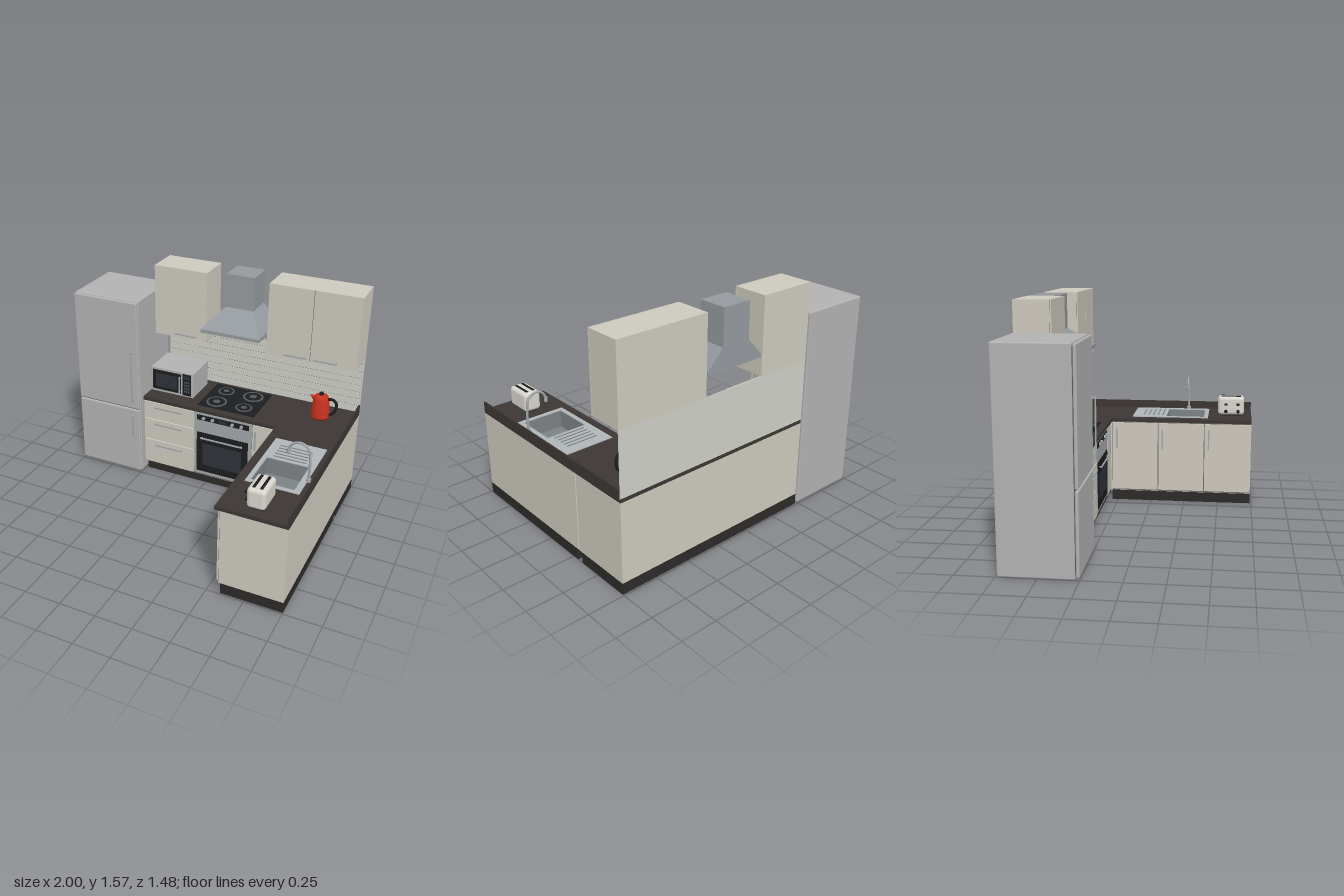
import * as THREE from 'three';
import { RoundedBoxGeometry } from 'three/addons/geometries/RoundedBoxGeometry.js';

const mat = (color) => new THREE.MeshStandardMaterial({ color, side: THREE.DoubleSide });
const M = {
  cream: mat(0xcdc9be), shade: mat(0x6f6c66), dark: mat(0x3c3734), plinth: mat(0x2c2b29),
  fridge: mat(0xb2b2b2), steel: mat(0xa2a7ab), hood: mat(0x959a9e), black: mat(0x1c1d20),
  glass: mat(0x2e3338), tile: mat(0xcfcfc8), sink: mat(0xb0b5b9), bowl: mat(0x7d8285),
  red: mat(0xc8321f), white: mat(0xd8d6cd), ring: mat(0x55585a),
};

export function createModel() {
  const root = new THREE.Group();
  root.name = 'kitchen';
  let parent = root;

  const group = (name, build) => {
    const g = new THREE.Group();
    g.name = name;
    root.add(g);
    parent = g;
    build();
    parent = root;
  };
  const add = (name, geo, m, x = 0, y = 0, z = 0) => {
    const mesh = new THREE.Mesh(geo, m);
    mesh.name = name;
    mesh.position.set(x, y, z);
    parent.add(mesh);
    return mesh;
  };
  // Box given by its limits; a radius rounds its edges
  const box = (name, m, x0, x1, y0, y1, z0, z1, r = 0) => {
    const s = [x1 - x0, y1 - y0, z1 - z0];
    const geo = r ? new RoundedBoxGeometry(...s, 3, r) : new THREE.BoxGeometry(...s);
    return add(name, geo, m, (x0 + x1) / 2, (y0 + y1) / 2, (z0 + z1) / 2);
  };
  const disc = (name, m, r, h, x, y, z, axis = 'y') => {
    const geo = new THREE.CylinderGeometry(r, r, h, 24);
    if (axis === 'z') geo.rotateX(Math.PI / 2);
    if (axis === 'x') geo.rotateZ(Math.PI / 2);
    return add(name, geo, m, x, y, z);
  };
  const tube = (name, m, pts, r, seg = 32) => add(name, new THREE.TubeGeometry(
    new THREE.CatmullRomCurve3(pts.map((p) => new THREE.Vector3(...p))), seg, r, 10), m);
  // Bar handles standing off a front that faces +z
  const barX = (x0, x1, y, z) => {
    box('handleBar', M.steel, x0, x1, y - 0.005, y + 0.005, z + 0.012, z + 0.02);
    for (const x of [x0 + 0.01, x1 - 0.01]) box('handlePost', M.steel, x - 0.004, x + 0.004, y - 0.004, y + 0.004, z, z + 0.013);
  };
  const barY = (x, y0, y1, z, d = 0.012) => {
    box('handleBar', M.steel, x - 0.005, x + 0.005, y0, y1, z + d, z + d + 0.009);
    for (const y of [y0 + 0.012, y1 - 0.012]) box('handlePost', M.steel, x - 0.004, x + 0.004, y - 0.005, y + 0.005, z, z + d);
  };
  // Plan outline (x, z) with rectangular hole, extruded upwards
  const slab = (name, m, outline, hole, y0, y1) => {
    const v = (pts) => pts.map(([x, z]) => new THREE.Vector2(x, -z));
    const s = new THREE.Shape(v(outline));
    const [a, b, c, d] = hole;
    s.holes.push(new THREE.Path(v([[a, c], [b, c], [b, d], [a, d]])));
    const geo = new THREE.ExtrudeGeometry(s, { depth: y1 - y0, bevelEnabled: false });
    add(name, geo.rotateX(-Math.PI / 2), m, 0, y0, 0);
  };

  group('fridge', () => {
    box('fridgeBody', M.fridge, -1, -0.5, 0, 1.37, -0.74, -0.277, 0.01);
    box('doorSeal', M.ring, -0.99, -0.51, 0.02, 1.35, -0.28, -0.27);
    box('lowerDoor', M.fridge, -1, -0.5, 0.015, 0.53, -0.272, -0.25, 0.008);
    box('upperDoor', M.fridge, -1, -0.5, 0.54, 1.365, -0.272, -0.25, 0.008);
    barY(-0.543, 0.6, 1.0, -0.25, 0.02);
    barY(-0.543, 0.31, 0.49, -0.25, 0.02);
  });

  group('wallCabinets', () => {
    for (const [x0, x1, doors] of [
      [-0.48, -0.08, [[-0.48, -0.08, -0.32, -0.16]]],
      [0.37, 1, [[0.37, 0.677, 0.5, 0.66], [0.683, 1, 0.71, 0.87]]],
    ]) {
      box('cabinetBody', M.cream, x0, x1, 1.06, 1.57, -0.74, -0.512);
      box('doorGap', M.shade, x0 + 0.003, x1 - 0.003, 1.063, 1.567, -0.513, -0.51);
      for (const [a, b, h0, h1] of doors) {
        box('cabinetDoor', M.cream, a, b, 1.06, 1.57, -0.51, -0.5);
        barX(h0, h1, 1.088, -0.5);
      }
    }
  });

  group('backsplash', () => {
    box('backPanel', M.tile, -0.48, 1, 0.64, 1.06, -0.74, -0.735);
    box('grout', M.shade, -0.48, 0.99, 0.64, 1.058, -0.736, -0.733);
    for (let i = 0; i < 8; i++) box('tileRow', M.tile, -0.48, 0.99, 0.64 + i * 0.0525, 0.689 + i * 0.0525, -0.735, -0.73);
  });

  group('rangeHood', () => {
    box('duct', M.hood, 0.042, 0.247, 1.32, 1.57, -0.74, -0.55);
    // Box whose upper corners are drawn in to meet the duct
    const geo = new THREE.BoxGeometry(0.43, 0.12, 0.365).toNonIndexed();
    const p = geo.attributes.position;
    for (let i = 0; i < p.count; i++) {
      if (p.getY(i) > 0) p.setXYZ(i, Math.sign(p.getX(i)) * 0.1025, 0.06, p.getZ(i) > 0 ? 0.0075 : -0.1825);
    }
    geo.computeVertexNormals();
    add('canopy', geo, M.hood, 0.145, 1.272, -0.5575);
    box('canopyRim', M.hood, -0.07, 0.36, 1.188, 1.212, -0.74, -0.375);
    box('filter', M.black, -0.055, 0.345, 1.185, 1.19, -0.725, -0.39);
  });

  group('baseCabinets', () => {
    box('backPlinth', M.plinth, -0.48, 1, 0, 0.077, -0.74, -0.34);
    box('sidePlinth', M.plinth, 0.59, 1, 0, 0.077, -0.295, 0.74);
    box('backBase', M.cream, -0.48, 1, 0.077, 0.615, -0.74, -0.315);
    slab('sideBase', M.cream, [[0.577, -0.305], [1, -0.305], [1, 0.74], [0.577, 0.74]], [0.62, 0.93, 0.1, 0.4], 0.077, 0.615);
    box('frontGap', M.shade, -0.478, 0.575, 0.08, 0.612, -0.316, -0.312);
    // Three drawers
    for (const [y0, y1, h] of [[0.092, 0.282, 0.25], [0.29, 0.457, 0.43], [0.465, 0.602, 0.568]]) {
      box('drawerFront', M.cream, -0.48, -0.08, y0, y1, -0.313, -0.298);
      barX(-0.39, -0.17, h, -0.298);
    }
    box('cornerDoor', M.cream, 0.372, 0.555, 0.092, 0.602, -0.313, -0.298);
    barY(0.397, 0.41, 0.56, -0.298);
    // Doors on the inner side of the wing
    box('wingGap', M.shade, 0.573, 0.578, 0.08, 0.612, -0.29, 0.735);
    for (let i = 0; i < 3; i++) {
      const z = -0.285 + i * 0.342;
      box('wingDoor', M.cream, 0.562, 0.574, 0.092, 0.602, z, z + 0.336);
      box('wingHandle', M.steel, 0.542, 0.55, 0.41, 0.56, z + 0.025, z + 0.035);
      for (const y of [0.42, 0.55]) box('handlePost', M.steel, 0.548, 0.563, y - 0.004, y + 0.004, z + 0.026, z + 0.034);
    }
  });

  group('worktop', () => {
    slab('counter', M.dark, [[-0.48, -0.74], [1, -0.74], [1, 0.74], [0.54, 0.74], [0.54, -0.285], [-0.48, -0.285]],
      [0.63, 0.91, 0.11, 0.39], 0.615, 0.64);
    box('sideUpstand', M.dark, 0.99, 1, 0.64, 0.695, -0.74, 0.74);
  });

  group('oven', () => {
    box('ovenFront', M.steel, -0.073, 0.365, 0.097, 0.602, -0.33, -0.3);
    box('controlPanel', M.black, -0.055, 0.345, 0.548, 0.588, -0.3, -0.296);
    box('display', M.glass, 0.115, 0.175, 0.556, 0.58, -0.297, -0.294);
    for (const x of [0, 0.07, 0.22, 0.29]) disc('knob', M.steel, 0.012, 0.014, x, 0.568, -0.29, 'z');
    box('ovenDoor', M.black, -0.053, 0.342, 0.122, 0.447, -0.302, -0.294);
    box('ovenWindow', M.glass, -0.005, 0.295, 0.18, 0.36, -0.295, -0.292);
    barX(-0.018, 0.305, 0.41, -0.294);
  });

  group('cooktop', () => {
    box('cooktopGlass', M.black, -0.07, 0.36, 0.64, 0.645, -0.7, -0.34);
    for (const [x, z, r] of [[0.04, -0.61, 0.06], [0.25, -0.61, 0.075], [0.04, -0.43, 0.075], [0.25, -0.43, 0.06]]) {
      disc('burner', M.ring, r, 0.006, x, 0.646, z);
      disc('burnerPlate', M.black, r * 0.8, 0.008, x, 0.646, z);
      disc('burnerCentre', M.ring, r * 0.35, 0.01, x, 0.646, z);
    }
  });

  group('microwave', () => {
    box('microwaveBody', M.fridge, -0.465, -0.13, 0.65, 0.845, -0.65, -0.39, 0.006);
    box('microwaveDoor', M.black, -0.45, -0.225, 0.672, 0.825, -0.391, -0.385);
    box('microwaveWindow', M.glass, -0.425, -0.255, 0.695, 0.8, -0.386, -0.383);
    box('microwavePanel', M.black, -0.212, -0.145, 0.665, 0.832, -0.391, -0.385);
    box('microwaveDisplay', M.glass, -0.202, -0.155, 0.795, 0.82, -0.386, -0.383);
    for (let i = 0; i < 12; i++) {
      const x = -0.2 + (i % 3) * 0.016, y = 0.69 + Math.floor(i / 3) * 0.024;
      box('button', M.ring, x, x + 0.011, y, y + 0.014, -0.386, -0.383);
    }
    barY(-0.232, 0.68, 0.81, -0.386, 0.008);
    for (const x of [-0.44, -0.155]) for (const z of [-0.62, -0.42]) disc('foot', M.black, 0.012, 0.012, x, 0.646, z);
  });

  group('sinkUnit', () => {
    slab('sinkTray', M.sink, [[0.6, -0.14], [0.95, -0.14], [0.95, 0.42], [0.6, 0.42]], [0.63, 0.91, 0.11, 0.39], 0.638, 0.645);
    box('bowlFloor', M.bowl, 0.63, 0.91, 0.52, 0.525, 0.11, 0.39);
    for (const x of [0.63, 0.91]) box('bowlSide', M.bowl, x - 0.002, x + 0.002, 0.52, 0.64, 0.11, 0.39);
    for (const z of [0.11, 0.39]) box('bowlEnd', M.bowl, 0.63, 0.91, 0.52, 0.64, z - 0.002, z + 0.002);
    disc('drain', M.black, 0.014, 0.006, 0.77, 0.526, 0.25);
    for (let i = 0; i < 5; i++) box('drainerRib', M.bowl, 0.66, 0.88, 0.644, 0.648, -0.064 + i * 0.035, -0.056 + i * 0.035);
    // Tap with a swan neck and side lever
    disc('tapBase', M.steel, 0.016, 0.02, 0.955, 0.652, 0.26);
    tube('tapNeck', M.steel, [[0.955, 0.645, 0.26], [0.955, 0.8, 0.26], [0.945, 0.86, 0.26], [0.91, 0.893, 0.26],
      [0.865, 0.895, 0.26], [0.828, 0.868, 0.26], [0.815, 0.82, 0.26]], 0.008, 48);
    disc('tapNozzle', M.steel, 0.011, 0.03, 0.815, 0.83, 0.26);
    tube('tapLever', M.steel, [[0.955, 0.795, 0.26], [0.955, 0.805, 0.235], [0.955, 0.818, 0.212]], 0.005, 8);
  });

  group('kettle', () => {
    const profile = [[0, 0.645], [0.064, 0.645], [0.066, 0.66], [0.062, 0.72], [0.053, 0.785], [0.045, 0.805], [0.025, 0.813], [0, 0.815]];
    add('kettleBody', new THREE.LatheGeometry(profile.map(([r, y]) => new THREE.Vector2(r, y)), 32), M.red, 0.77, 0, -0.55);
    disc('kettleBase', M.black, 0.06, 0.01, 0.77, 0.645, -0.55);
    disc('lidKnob', M.black, 0.015, 0.018, 0.77, 0.82, -0.55);
    const spout = add('spout', new THREE.ConeGeometry(0.026, 0.055, 12), M.red, 0.712, 0.787, -0.55);
    spout.rotation.z = 1.1;
    tube('kettleHandle', M.black, [[0.815, 0.787, -0.55], [0.855, 0.79, -0.55], [0.878, 0.765, -0.55],
      [0.875, 0.715, -0.55], [0.85, 0.68, -0.55], [0.825, 0.672, -0.55]], 0.01);
  });

  group('toaster', () => {
    box('toasterBody', M.white, 0.712, 0.832, 0.646, 0.782, 0.49, 0.685, 0.025);
    for (const x of [0.748, 0.796]) box('slot', M.black, x - 0.009, x + 0.009, 0.77, 0.784, 0.515, 0.66);
    for (const z of [0.55, 0.64]) {
      box('lever', M.black, 0.692, 0.715, 0.722, 0.735, z - 0.012, z + 0.012);
      disc('dial', M.black, 0.012, 0.02, 0.705, 0.675, z, 'x');
    }
    box('toasterFeet', M.black, 0.73, 0.815, 0.64, 0.65, 0.51, 0.665);
  });

  return root;
}
